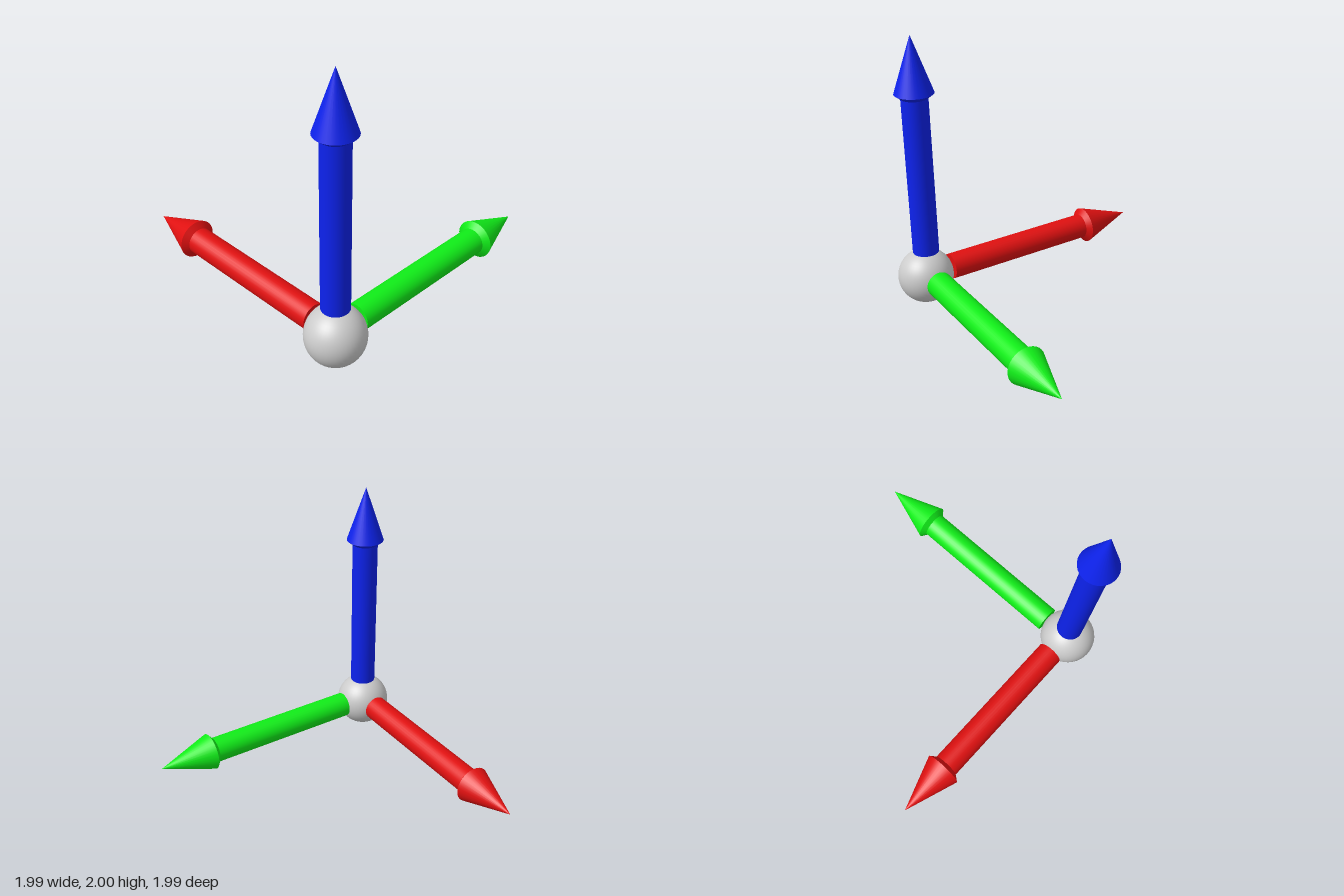
import * as THREE from 'three';

const SIDES = 32, SHAFT_R = 0.094, HEAD_R = 0.137;

// A round section running along +y from y0 to y1
function section(name, r0, r1, y0, y1, material, open) {
  const geometry = new THREE.CylinderGeometry(r1, r0, y1 - y0, SIDES, 1, open);
  geometry.translate(0, (y0 + y1) / 2, 0);
  const mesh = new THREE.Mesh(geometry, material);
  mesh.name = name;
  return mesh;
}

// An arrow pointing along +y, measured from the axes' crossing point
function arrow(name, color, length) {
  const material = new THREE.MeshStandardMaterial({ color });
  const group = new THREE.Group();
  group.name = name;
  const base = length - 0.4, collar = base - 0.033;
  group.add(
    section('shaft', SHAFT_R, SHAFT_R, 0.188, collar + 0.005, material, false),
    section('headBevel', SHAFT_R, HEAD_R, collar, base, material, true),
    section('headCone', HEAD_R, 0, base, length, material, true),
  );
  return group;
}

export function createModel() {
  const model = new THREE.Group();
  model.name = 'axisArrows';

  // Ball at the corner
  const ball = new THREE.Mesh(
    new THREE.SphereGeometry(0.201, 40, 28),
    new THREE.MeshStandardMaterial({ color: 0xcccccc }),
  );
  ball.name = 'cornerBall';
  ball.position.set(0.793, 0.202, 0.793);
  model.add(ball);

  // Three arrows at right angles
  const up = arrow('upArrow', 0x0d22ee, 1.788);
  const side = arrow('sideArrow', 0xe01010, 1.78);
  side.rotation.z = Math.PI / 2;
  const back = arrow('backArrow', 0x10ee18, 1.78);
  back.rotation.x = -Math.PI / 2;
  for (const a of [up, side, back]) {
    a.position.set(0.784, 0.212, 0.784);
    model.add(a);
  }
  return model;
}
